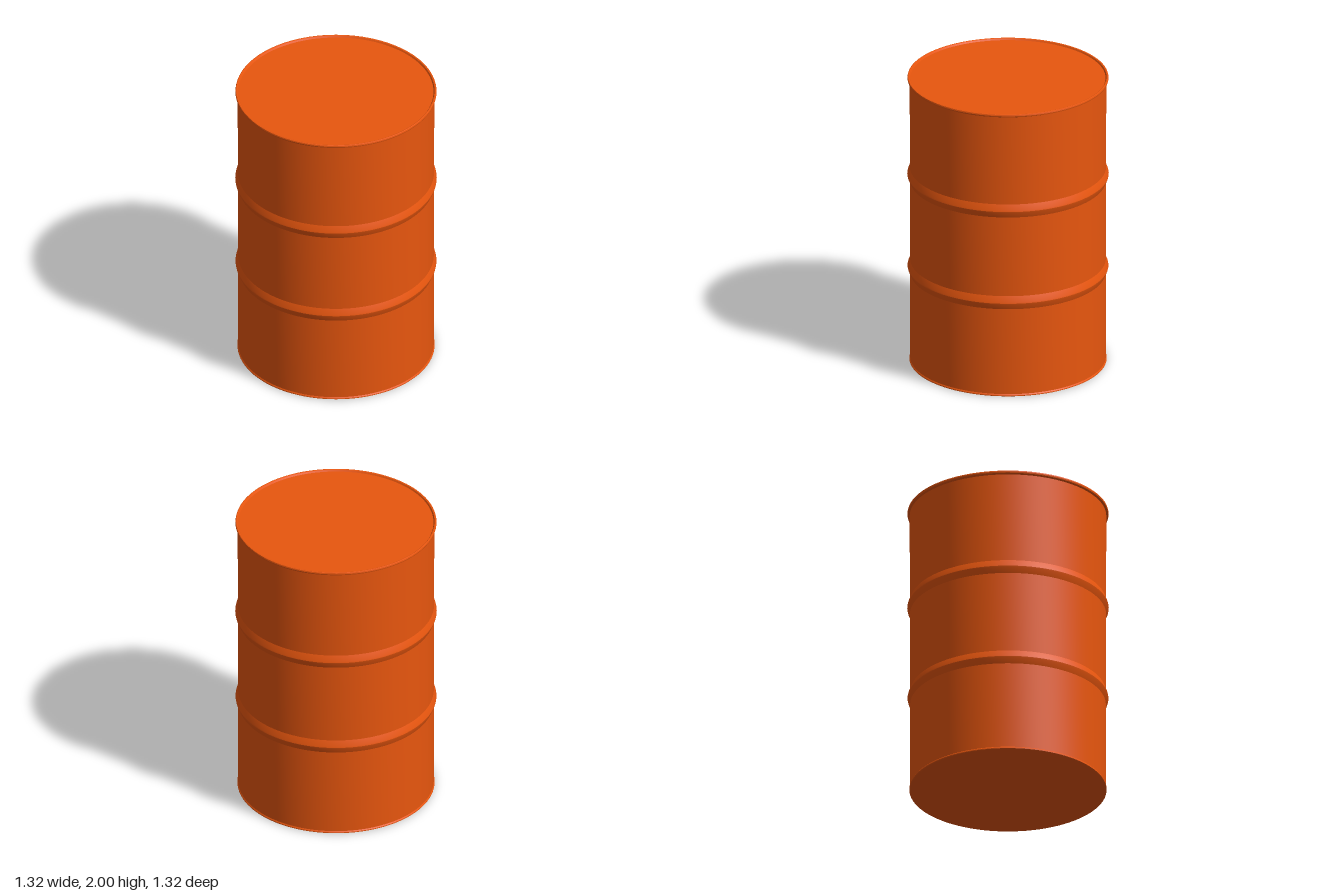
import * as THREE from 'three';
import { toCreasedNormals } from 'three/addons/utils/BufferGeometryUtils.js';

const SEGMENTS = 96;

// Revolve a bottom-to-top [radius, y] profile, keeping its corners crisp
function revolve(name, profile, material) {
  const points = profile.map(([r, y]) => new THREE.Vector2(r, y));
  const geometry = toCreasedNormals(new THREE.LatheGeometry(points, SEGMENTS), 0.3);
  const mesh = new THREE.Mesh(geometry, material);
  mesh.name = name;
  return mesh;
}

// Raised hoop pressed into the wall, as profile points
const hoop = (y, r) => [
  [r, y - 0.045], [r + 0.015, y - 0.009], [r + 0.017, y],
  [r + 0.015, y + 0.009], [r, y + 0.047],
];

export function createModel() {
  const group = new THREE.Group();
  group.name = 'drum';
  const paint = new THREE.MeshStandardMaterial({ color: 0xe8560e });

  // Side wall with two rolling hoops
  group.add(revolve('wall', [
    [0.639, 0.012], ...hoop(0.662, 0.639), ...hoop(1.312, 0.641), [0.642, 1.98],
  ], paint));

  // Rolled top rim, with the lid set just below it
  group.add(revolve('topRim', [
    [0.642, 1.976], [0.655, 1.982], [0.657, 1.99], [0.655, 1.998],
    [0.65, 2], [0.643, 1.998], [0.637, 1.988],
  ], paint));
  group.add(revolve('lid', [[0.637, 1.988], [0, 1.988]], paint));

  // Slim bottom flange and flat base
  group.add(revolve('bottomFlange', [
    [0.638, 0], [0.644, 0.003], [0.644, 0.009], [0.639, 0.016],
  ], paint));
  group.add(revolve('base', [[0, 0], [0.638, 0]], paint));

  return group;
}
